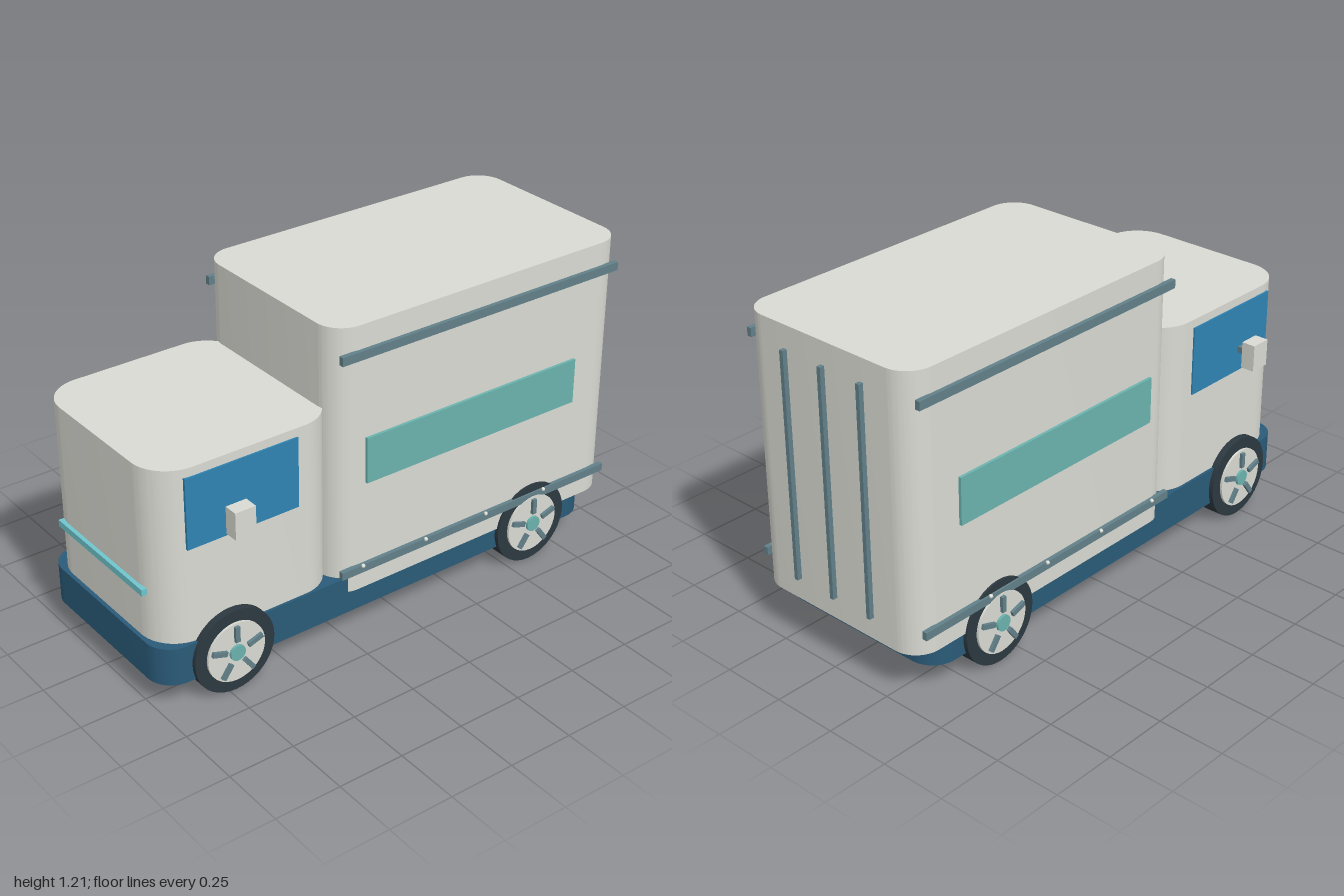
import * as THREE from 'three';
import { toCreasedNormals } from 'three/addons/utils/BufferGeometryUtils.js';

const mat = (color) => new THREE.MeshStandardMaterial({ color });
const paint = mat(0xd9dad2);
const chassisBlue = mat(0x2a5a78);
const glass = mat(0x2f84b3);
const teal = mat(0x6bb3ae);
const trim = mat(0x70c6cc);
const metal = mat(0x628089);
const rubber = mat(0x2c3840);
const red = mat(0x9c3030);

export function createModel() {
  const model = new THREE.Group();
  model.name = 'boxTruck';

  const add = (name, geometry, material, parent = model) => {
    const mesh = new THREE.Mesh(geometry, material);
    mesh.name = name;
    parent.add(mesh);
    return mesh;
  };

  // Box given by its limits on each axis
  const box = (name, material, [x0, x1], [y0, y1], [z0, z1], parent = model) => {
    const mesh = add(name, new THREE.BoxGeometry(x1 - x0, y1 - y0, z1 - z0), material, parent);
    mesh.position.set((x0 + x1) / 2, (y0 + y1) / 2, (z0 + z1) / 2);
    return mesh;
  };

  // Upright block with a rounded-rectangle plan
  const roundedBlock = (name, material, hw, [y0, y1], [z0, z1], r) => {
    const hl = (z1 - z0) / 2;
    const s = new THREE.Shape();
    s.moveTo(hw, -hl + r);
    s.absarc(hw - r, hl - r, r, 0, Math.PI / 2);
    s.absarc(-hw + r, hl - r, r, Math.PI / 2, Math.PI);
    s.absarc(-hw + r, -hl + r, r, Math.PI, Math.PI * 1.5);
    s.absarc(hw - r, -hl + r, r, Math.PI * 1.5, Math.PI * 2);
    const g = new THREE.ExtrudeGeometry(s, { depth: y1 - y0, bevelEnabled: false, curveSegments: 12 });
    g.rotateX(-Math.PI / 2);
    g.translate(0, y0, (z0 + z1) / 2);
    return add(name, toCreasedNormals(g, 0.6), material);
  };

  // Main bodies
  roundedBlock('chassis', chassisBlue, 0.372, [0.1, 0.245], [-0.9, 1.0], 0.1);
  roundedBlock('cab', paint, 0.362, [0.235, 0.905], [0.27, 0.985], 0.14);
  roundedBlock('cargoBox', paint, 0.38, [0.185, 1.21], [-0.98, 0.3], 0.1);

  // Front trim strip
  box('frontStrip', trim, [-0.267, 0.267], [0.425, 0.45], [0.98, 1.0]);

  // Rear door bars
  for (const x of [-0.175, 0, 0.175])
    box('rearBar', metal, [x - 0.008, x + 0.008], [0.27, 1.125], [-0.998, -0.975]);

  // Wheel: tyre, rim disc, five spokes and hub, with the axle along x
  const makeWheel = (side, z) => {
    const wheel = new THREE.Group();
    wheel.name = 'wheel';
    wheel.position.set(side * 0.352, 0.16, z);
    wheel.rotation.y = side > 0 ? 0 : Math.PI;
    const disc = (name, material, r, x0, x1, n) => {
      const g = new THREE.CylinderGeometry(r, r, x1 - x0, n);
      g.rotateZ(-Math.PI / 2);
      add(name, g, material, wheel).position.x = (x0 + x1) / 2;
    };
    disc('tyre', rubber, 0.16, -0.037, 0.037, 40);
    disc('rim', paint, 0.115, 0.03, 0.046, 32);
    disc('hub', teal, 0.03, 0.04, 0.056, 20);
    for (let i = 0; i < 5; i++) {
      const spoke = new THREE.Group();
      spoke.name = 'spoke';
      spoke.rotation.x = (i * Math.PI * 2) / 5;
      box('spokeBar', metal, [0.044, 0.058], [0.045, 0.105], [-0.009, 0.009], spoke);
      wheel.add(spoke);
    }
    model.add(wheel);
  };

  for (const side of [1, -1]) {
    const span = (a, b) => (side > 0 ? [a, b] : [-b, -a]);

    // Cab window and mirror
    box('sideWindow', glass, span(0.346, 0.368), [0.608, 0.873], [0.44, 0.88]);
    box('mirrorArm', metal, span(0.355, 0.415), [0.685, 0.708], [0.705, 0.727]);
    box('mirror', paint, span(0.408, 0.462), [0.646, 0.748], [0.677, 0.757]);

    // Cargo side panel and rails
    box('sidePanel', teal, span(0.375, 0.391), [0.61, 0.785], [-0.775, 0.172]);
    box('upperRail', metal, span(0.377, 0.396), [1.09, 1.122], [-0.95, 0.28]);
    box('lowerRail', metal, span(0.377, 0.396), [0.26, 0.29], [-0.95, 0.28]);

    // Small marker studs along the lower rail
    for (let i = 0; i < 4; i++)
      add('railStud', new THREE.SphereGeometry(0.008, 10, 8), paint)
        .position.set(side * 0.395, 0.286, 0.19 - i * 0.28);

    // Rear lamps tucked under the cargo box
    box('rearLamp', red, span(0.23, 0.31), [0.178, 0.2], [-0.925, -0.895]);

    makeWheel(side, 0.725);
    makeWheel(side, -0.6);
  }

  return model;
}
